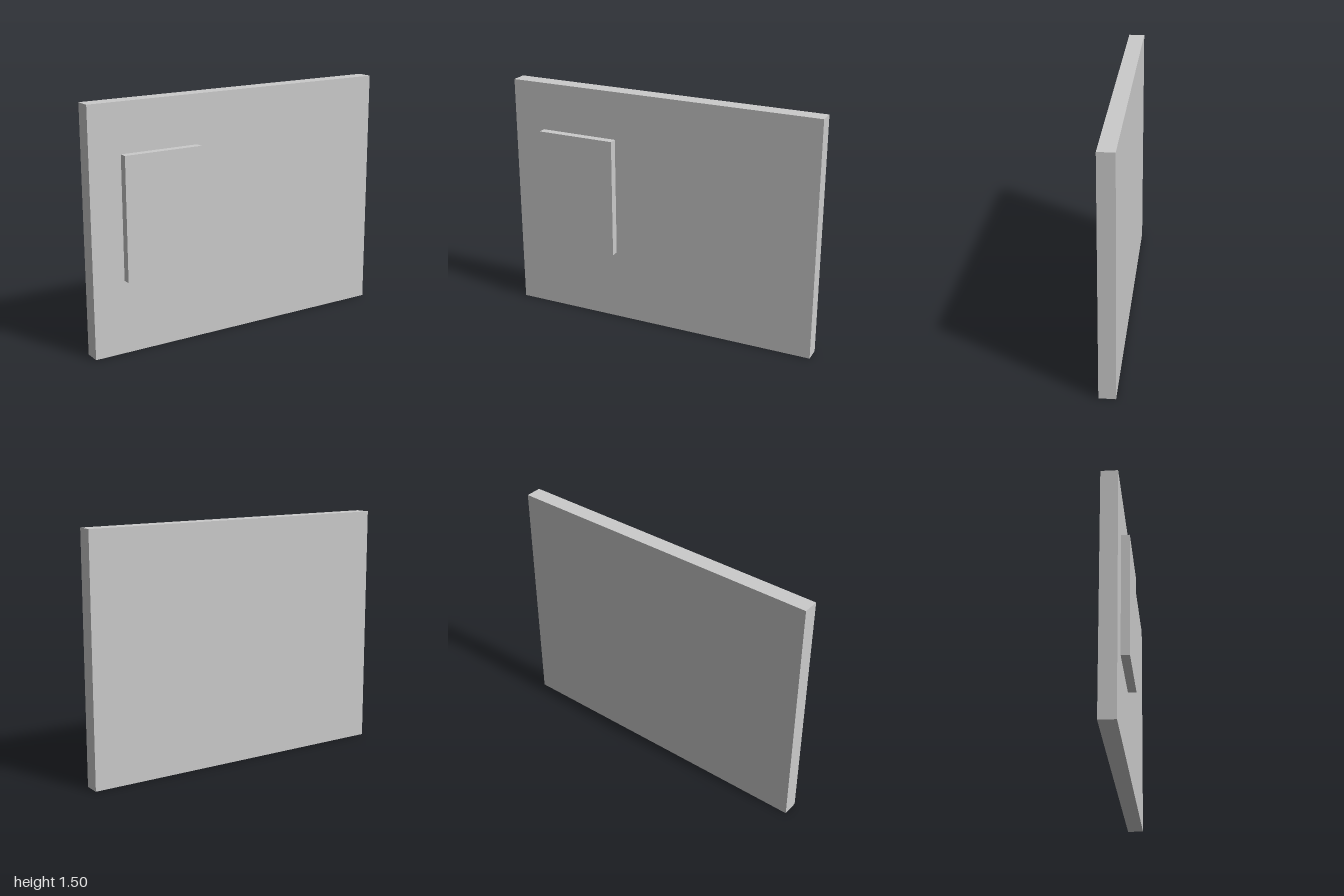
import * as THREE from 'three';

const material = new THREE.MeshStandardMaterial({ color: 0xcccccc, flatShading: true });

// Box given by its size and centre
function addBox(group, name, [w, h, d], [x, y, z]) {
  const mesh = new THREE.Mesh(new THREE.BoxGeometry(w, h, d), material);
  mesh.name = name;
  mesh.position.set(x, y, z);
  group.add(mesh);
}

export function createModel() {
  const group = new THREE.Group();
  group.name = 'wallWithPanel';

  // Large upright slab
  addBox(group, 'wall', [2, 1.5, 0.1], [0, 0.75, -0.025]);

  // Raised panel on the front face
  addBox(group, 'raisedPanel', [0.5, 0.75, 0.05], [-0.55, 0.825, 0.05]);

  return group;
}
